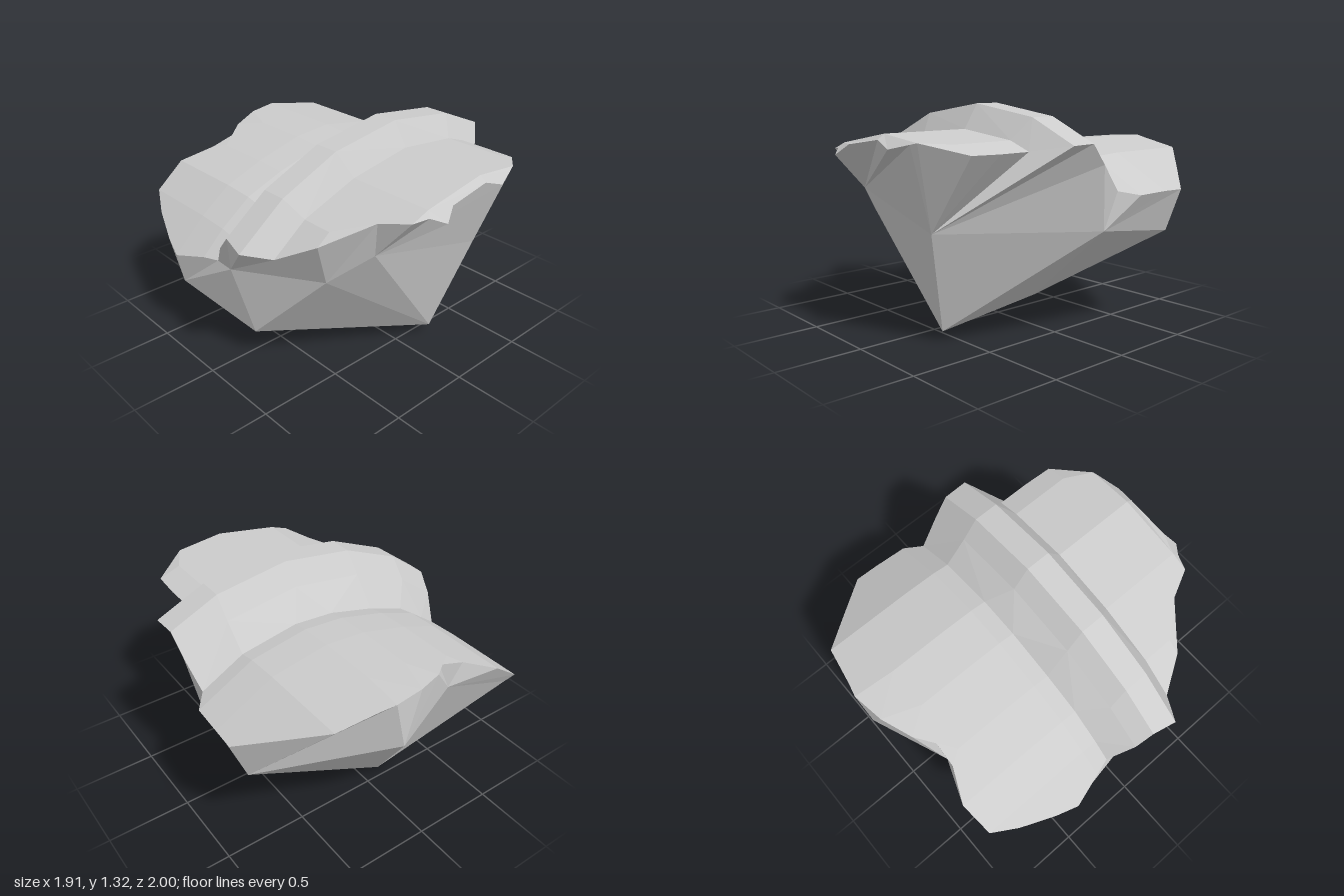
import * as THREE from 'three';

// Cross-section arcs [x, y] of the three terraces
const FRONT = [[-0.81, 0.82], [-0.6, 0.98], [-0.25, 1.11], [0.15, 1.18], [0.53, 1.14], [0.67, 1.09]];
const RIDGE = [[-0.96, 0.87], [-0.67, 1.09], [-0.3, 1.25], [0.15, 1.32], [0.6, 1.26], [0.9, 1.13]];
const BACK = [[-0.93, 0.57], [-0.73, 0.76], [-0.54, 0.9], [-0.3, 0.99], [0, 1.07], [0.25, 1.09], [0.6, 1.03], [0.955, 0.84]];

const V = (x, y, z) => new THREE.Vector3(x, y, z);

// Height of an arc at x, linear between its points
function heightAt(arc, x) {
  let i = 0;
  while (i < arc.length - 2 && x > arc[i + 1][0]) i++;
  const [[x0, y0], [x1, y1]] = [arc[i], arc[i + 1]];
  return y0 + (y1 - y0) * (x - x0) / (x1 - x0);
}

// One row of points across the model at depth z, trimmed to x0..x1
function row(arc, z, x0, x1, dy = 0) {
  const inner = arc.map(p => p[0]).filter(x => x > x0 + 0.04 && x < x1 - 0.04);
  return [x0, ...inner, x1].map(x => V(x, heightAt(arc, x) + dy, z));
}

// Zips two point rows together in the order given by key
function zip(a, b, ka, kb, out) {
  let i = 0, j = 0;
  while (i < a.length - 1 || j < b.length - 1) {
    if (j === b.length - 1 || (i < a.length - 1 && ka[i + 1] <= kb[j + 1])) {
      out.push(a[i], a[i + 1], b[j]);
      i++;
    } else {
      out.push(a[i], b[j + 1], b[j]);
      j++;
    }
  }
}

function loft(rows) {
  const out = [];
  for (let r = 0; r < rows.length - 1; r++) {
    zip(rows[r], rows[r + 1], rows[r].map(p => p.x), rows[r + 1].map(p => p.x), out);
  }
  return out;
}

// Closes a loop of points around the vertical axis, sorted by angle
function ring(points) {
  const angle = p => Math.atan2(p.x, p.z);
  const loop = [...points].sort((p, q) => angle(p) - angle(q));
  const keys = loop.map(angle);
  return { loop: [...loop, loop[0]], keys: [...keys, keys[0] + Math.PI * 2] };
}

export function createModel() {
  const group = new THREE.Group();
  const material = new THREE.MeshStandardMaterial({ color: 0xcccccc, flatShading: true, side: THREE.DoubleSide });
  const add = (name, triangles) => {
    const geometry = new THREE.BufferGeometry().setFromPoints(triangles);
    geometry.computeVertexNormals();
    const mesh = new THREE.Mesh(geometry, material);
    mesh.name = name;
    group.add(mesh);
  };

  // Front terrace with its ragged lip
  const lip = [[-0.27, 1.08, 0.94], [-0.2, 1.05, 1], [-0.12, 1.11, 0.96], [0.15, 1.15, 0.95],
    [0.27, 1.11, 0.97], [0.4, 1.14, 0.925]].map(p => V(...p));
  const foot = row(FRONT, 0.38, -0.81, 0.67);
  const frontRows = [
    lip,
    row(FRONT, 0.91, -0.36, 0.44),
    row(FRONT, 0.75, -0.44, 0.66),
    row(FRONT, 0.57, -0.68, 0.67),
    foot,
  ];

  // Raised ridge
  const backFoot = row(BACK, -0.1, -0.84, 0.86, -0.03);
  const ridgeRows = [
    foot,
    row(RIDGE, 0.29, -0.96, 0.9),
    row(RIDGE, 0.14, -0.93, 0.895),
    row(RIDGE, 0.04, -0.91, 0.885, -0.12),
    backFoot,
  ];

  // Back terrace with a notched edge
  const edge = [[-0.73, -0.9], [-0.54, -0.92], [-0.35, -0.83], [-0.18, -0.82], [-0.1, -0.9], [0.08, -0.97],
    [0.27, -1], [0.36, -0.98], [0.6, -0.94]].map(([x, z]) => V(x, heightAt(BACK, x), z));
  const backRows = [
    backFoot,
    row(BACK, -0.2, -0.87, 0.94, -0.01),
    row(BACK, -0.4, -0.93, 0.95),
    row(BACK, -0.54, -0.89, 0.955),
    row(BACK, -0.75, -0.81, 0.77),
    edge,
  ];
  add('frontTerrace', loft(frontRows));
  add('ridge', loft(ridgeRows));
  add('backTerrace', loft(backRows));

  // Rim of the top, and the rough belt of rock corners below it
  const rows = [...frontRows, ...ridgeRows.slice(1), ...backRows.slice(1)];
  const ends = rows.slice(1, -1).flatMap(r => [r[0], r[r.length - 1]]);
  const rim = ring([...lip, ...ends, ...edge]);
  const notch = V(-0.27, 0.83, -0.82), backRight = V(-0.7, 0.7, -0.86), rightLow = V(-0.9, 0.39, -0.39);
  const rightMid = V(-0.84, 0.62, 0.02), frontRight = V(-0.58, 0.65, 0.52), frontMid = V(-0.4, 0.82, 0.7);
  const frontLeft = V(0.34, 0.66, 0.76), leftMid = V(0.83, 0.645, -0.03);
  const leftBack = V(0.86, 0.59, -0.54), back = V(0.2, 0.78, -1);
  const belt = ring([notch, backRight, rightLow, rightMid, frontRight, frontMid, frontLeft, leftMid, leftBack, back]);
  const skirt = [];
  zip(belt.loop, rim.loop, belt.keys, rim.keys, skirt);
  add('rockBelt', skirt);

  // Facets fanning from the three lowest corners
  const lowFront = V(0.2, 0.06, 0.59), lowBack = V(-0.13, 0, -0.44), lowRight = V(-0.74, 0.19, 0.08);
  const fans = [
    [lowBack, [leftMid, leftBack, back, notch, backRight, rightLow]],
    [lowRight, [rightLow, rightMid, frontRight]],
    [lowFront, [frontRight, frontMid, frontLeft, leftMid]],
  ];
  const base = [lowFront, lowRight, lowBack];
  fans.forEach(([corner, fan], f) => {
    for (let i = 0; i < fan.length - 1; i++) base.push(corner, fan[i + 1], fan[i]);
    base.push(corner, fans[(f + 1) % 3][0], fan[fan.length - 1]);
  });
  add('rockBase', base);
  return group;
}
